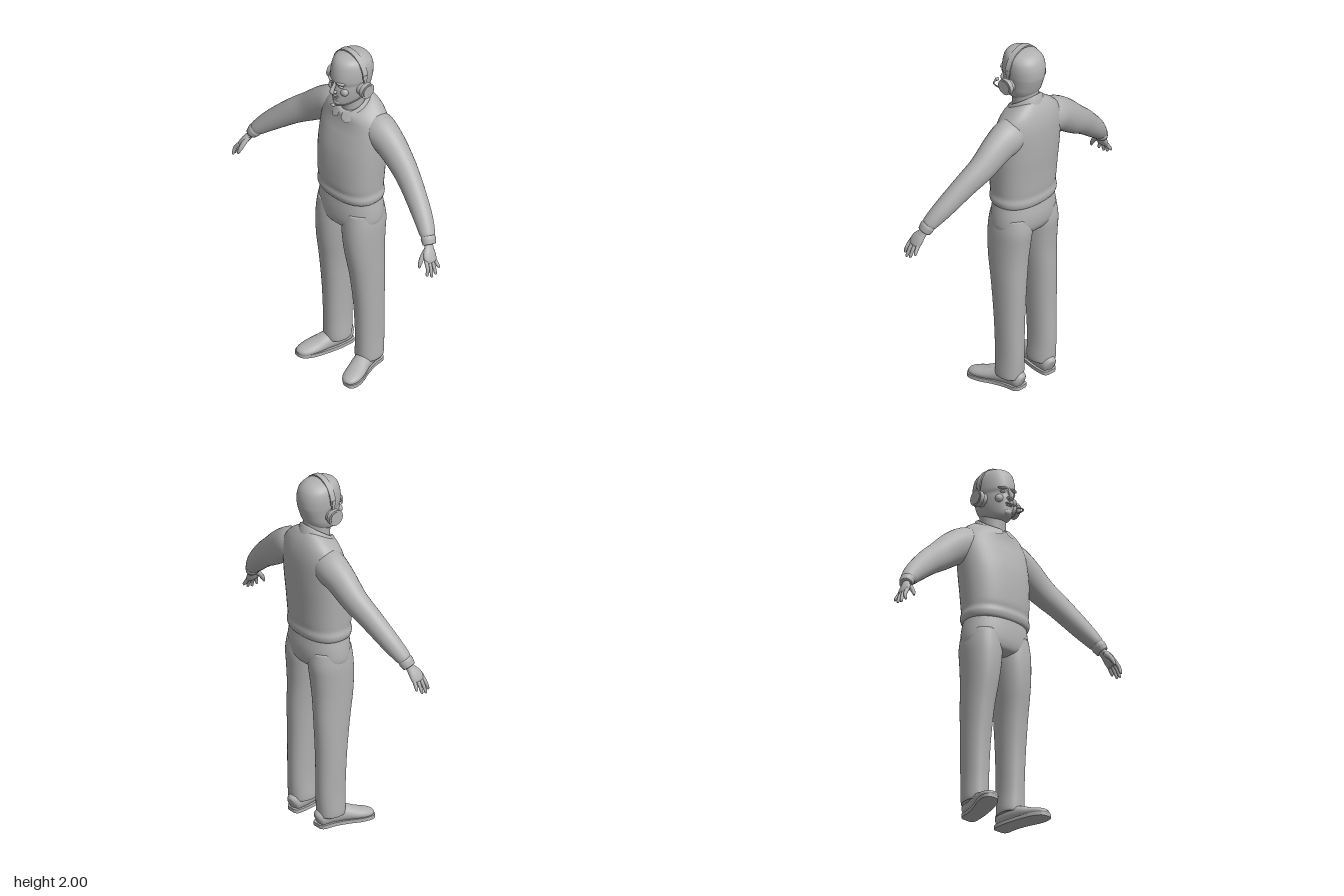
import * as THREE from 'three';

const grey = new THREE.MeshStandardMaterial({ color: 0xb2b2b2, side: THREE.DoubleSide });
grey.name = 'plain grey';
const V = (x, y, z) => new THREE.Vector3(x, y, z);

function mesh(name, geometry, parent) {
  const m = new THREE.Mesh(geometry, grey);
  m.name = name;
  parent.add(m);
  return m;
}

// Catmull-Rom resampling of every column in a short table of sections
function smooth(rows, steps) {
  const out = [], at = i => rows[Math.min(rows.length - 1, Math.max(0, i))];
  for (let i = 0; i < rows.length - 1; i++)
    for (let s = 0; s < steps; s++) {
      const t = s / steps, [p, q, r, w] = [at(i - 1), at(i), at(i + 1), at(i + 2)];
      out.push(q.map((v, k) => {
        const cubic = 3 * (v - r[k]) + w[k] - p[k];
        const square = 2 * p[k] - 5 * v + 4 * r[k] - w[k];
        return v + 0.5 * t * (r[k] - p[k] + t * (square + t * cubic));
      }));
    }
  out.push(rows[rows.length - 1]);
  return out;
}

// Skin over closed rings, with a fan at both ends
function skin(rings) {
  const n = rings[0].length, pos = [], idx = [], last = (rings.length - 1) * n;
  rings.forEach(r => r.forEach(p => pos.push(p.x, p.y, p.z)));
  for (let i = 0; i < rings.length - 1; i++)
    for (let j = 0; j < n; j++) {
      const a = i * n + j, b = i * n + (j + 1) % n;
      idx.push(a, a + n, b, b, a + n, b + n);
    }
  [rings[0], rings[rings.length - 1]].forEach((r, e) => {
    const c = r.reduce((s, p) => s.add(p), V(0, 0, 0)).divideScalar(n), k = pos.length / 3;
    pos.push(c.x, c.y, c.z);
    for (let j = 0; j < n; j++) {
      const a = j, b = (j + 1) % n;
      if (e) idx.push(last + a, k, last + b);
      else idx.push(k, a, b);
    }
  });
  const g = new THREE.BufferGeometry();
  g.setAttribute('position', new THREE.Float32BufferAttribute(pos, 3));
  g.setIndex(idx);
  g.computeVertexNormals();
  return g;
}

// Upright body: rows of [y, half width, back z, front z, tilt, centre x, front taper]
function body(rows, power = 0.9, steps = 4, seg = 40) {
  const pw = v => Math.sign(v) * Math.pow(Math.abs(v), power);
  const full = rows.map(r => [...r, 0, 0, 0].slice(0, 7));
  return skin(smooth(full, steps).map(([y, w, zb, zf, tilt, cx, taper]) =>
    Array.from({ length: seg }, (_, j) => {
      const a = j / seg * Math.PI * 2, s = pw(Math.sin(a)), dz = s * (zf - zb) / 2;
      return V(cx + pw(Math.cos(a)) * w * (1 - taper * s), y + tilt * dz, (zb + zf) / 2 + dz);
    })));
}

// Limb along a path: rows of [x, y, z, half size along hint, half size across]
function limb(rows, hint = V(0, 0, 1), steps = 4, seg = 20, floor = -1) {
  const pts = smooth(rows, steps);
  const c = i => V(...pts[Math.min(pts.length - 1, Math.max(0, i))].slice(0, 3));
  return skin(pts.map((p, i) => {
    const t = c(i + 1).sub(c(i - 1)).normalize();
    const e1 = hint.clone().addScaledVector(t, -hint.dot(t)).normalize(), e2 = e1.clone().cross(t);
    return Array.from({ length: seg }, (_, j) => {
      const a = j / seg * Math.PI * 2;
      const v = c(i).addScaledVector(e1, Math.cos(a) * p[3]).addScaledVector(e2, Math.sin(a) * p[4]);
      v.y = Math.max(v.y, floor);
      return v;
    });
  }));
}

function blob(name, x, y, z, rx, ry, rz, parent) {
  const m = mesh(name, new THREE.SphereGeometry(1, 20, 14), parent);
  m.position.set(x, y, z);
  m.scale.set(rx, ry, rz);
  return m;
}

// Folded shirt collar, open at the front with two points
function collarGeometry() {
  const n = 48, pos = [], idx = [];
  for (let i = 0; i <= n; i++) {
    const u = i / n, a = 0.12 + u * (Math.PI * 2 - 0.24), s = Math.sin(a), k = Math.cos(a);
    const tip = Math.max(0, 1 - Math.abs(Math.min(u, 1 - u) - 0.055) / 0.08);
    pos.push(s * 0.076, 1.69 - k * 0.052, -0.045 + k * 0.078);
    pos.push(s * 0.088, 1.685 - k * 0.052, -0.045 + k * 0.09);
    pos.push(s * (0.098 + tip * 0.02), 1.655 - k * 0.04 - tip * 0.03, -0.045 + k * 0.1 + tip * 0.012);
    if (i < n) for (let r = 0; r < 2; r++) {
      const p = i * 3 + r;
      idx.push(p, p + 1, p + 3, p + 3, p + 1, p + 4);
    }
  }
  const g = new THREE.BufferGeometry();
  g.setAttribute('position', new THREE.Float32BufferAttribute(pos, 3));
  g.setIndex(idx);
  g.computeVertexNormals();
  return g;
}

// Arm, hand, leg, shoe and ear cup of the +x side
function side(name) {
  const g = new THREE.Group();
  g.name = name;
  mesh('sleeve', limb([
    [0.05, 1.565, -0.07, 0.07, 0.07], [0.15, 1.543, -0.078, 0.087, 0.097], [0.24, 1.5, -0.075, 0.078, 0.09],
    [0.345, 1.42, -0.065, 0.066, 0.078], [0.44, 1.35, -0.04, 0.058, 0.068], [0.56, 1.245, 0, 0.051, 0.055],
    [0.625, 1.18, 0.028, 0.043, 0.042], [0.637, 1.165, 0.034, 0.038, 0.036],
    [0.645, 1.155, 0.038, 0.041, 0.038], [0.66, 1.13, 0.046, 0.036, 0.031]], V(0, 0, 1), 4, 28), g);
  mesh('palm', limb([
    [0.645, 1.15, 0.04, 0.024, 0.02], [0.664, 1.12, 0.052, 0.026, 0.018], [0.683, 1.09, 0.067, 0.038, 0.019],
    [0.7, 1.06, 0.075, 0.038, 0.016], [0.705, 1.05, 0.077, 0.03, 0.01]]), g);
  // four fingers: knuckle z, tip x, tip y, tip z
  [[0.104, 0.722, 0.995, 0.122], [0.086, 0.733, 0.985, 0.099], [0.067, 0.734, 0.99, 0.073], [0.049, 0.728, 1.012, 0.043]]
    .forEach(([z, x, y, tz]) => mesh('finger', limb([
      [0.694, 1.07, z, 0.01, 0.011], [0.718, 1.035, (z + tz) / 2, 0.0095, 0.01],
      [x, y + 0.008, tz, 0.0075, 0.008], [x + 0.001, y, tz, 0.003, 0.003]], V(0, 0, 1), 3, 10), g));
  mesh('thumb', limb([
    [0.664, 1.115, 0.065, 0.014, 0.014], [0.667, 1.085, 0.1, 0.013, 0.013],
    [0.671, 1.055, 0.122, 0.011, 0.011], [0.676, 1.03, 0.134, 0.005, 0.005]], V(1, 0, 0), 3, 10), g);

  // trouser leg: y, inner x, outer x, back z, front z
  mesh('trouserLeg', body([
    [0.065, 0.06, 0.178, -0.118, 0.022], [0.075, 0.05, 0.186, -0.124, 0.032], [0.2, 0.054, 0.184, -0.13, 0.033],
    [0.4, 0.048, 0.187, -0.131, 0.042], [0.6, 0.036, 0.19, -0.137, 0.064], [0.75, 0.018, 0.192, -0.139, 0.088],
    [0.86, 0.004, 0.194, -0.147, 0.097], [0.95, -0.004, 0.194, -0.155, 0.095], [1.03, 0, 0.185, -0.145, 0.085]
  ].map(([y, i, o, b, f]) => [y, (o - i) / 2, b, f, 0, (i + o) / 2])), g);

  const foot = [
    [0.108, 0.045, -0.13, 0.022, 0.03], [0.11, 0.05, -0.112, 0.041, 0.05], [0.115, 0.055, -0.05, 0.044, 0.055],
    [0.132, 0.05, 0.02, 0.048, 0.048], [0.153, 0.038, 0.08, 0.053, 0.035], [0.168, 0.03, 0.13, 0.05, 0.028],
    [0.177, 0.025, 0.165, 0.036, 0.02], [0.18, 0.02, 0.18, 0.015, 0.01]];
  mesh('shoe', limb(foot, V(1, 0, 0), 4, 24, 0.015), g);
  const edge = d => foot.map(p => new THREE.Vector2(p[0] + d * (p[3] + 0.003), p[2]));
  const outline = new THREE.Shape(new THREE.SplineCurve([...edge(1), ...edge(-1).reverse()]).getPoints(60));
  const sole = new THREE.ExtrudeGeometry(outline, { depth: 0.02, bevelEnabled: false });
  mesh('sole', sole.rotateX(Math.PI / 2).translate(0, 0.02, 0), g);

  // ear cup: cushion, shell, cap and slider
  const disc = (part, r, x0, x1) => mesh(part, new THREE.CylinderGeometry(r, r, x1 - x0, 32)
    .rotateZ(Math.PI / 2).translate((x0 + x1) / 2, 1.803, -0.023), g);
  disc('earCushion', 0.037, 0.085, 0.112);
  disc('earCupShell', 0.044, 0.11, 0.134);
  disc('earCupCap', 0.035, 0.13, 0.137);
  mesh('bandSlider', new THREE.BoxGeometry(0.008, 0.06, 0.018).translate(0.111, 1.865, -0.025), g);

  // facial details that come in pairs
  blob('ear', 0.094, 1.81, -0.025, 0.012, 0.034, 0.02, g);
  blob('brow', 0.036, 1.853, 0.08, 0.026, 0.008, 0.013, g).rotation.y = 0.35;
  blob('eye', 0.034, 1.833, 0.076, 0.015, 0.008, 0.011, g);
  blob('cheek', 0.042, 1.796, 0.062, 0.026, 0.024, 0.02, g);
  blob('nostril', 0.011, 1.796, 0.098, 0.009, 0.008, 0.012, g);
  return g;
}

export function createModel() {
  const model = new THREE.Group();
  model.name = 'man with headset';

  mesh('sweater', body([
    [1.095, 0.172, -0.145, 0.085], [1.103, 0.188, -0.16, 0.1], [1.13, 0.194, -0.166, 0.108],
    [1.16, 0.188, -0.162, 0.104], [1.2, 0.19, -0.166, 0.109], [1.3, 0.196, -0.173, 0.107],
    [1.4, 0.201, -0.181, 0.096], [1.5, 0.204, -0.185, 0.074, -0.1], [1.56, 0.2, -0.182, 0.058, -0.2],
    [1.61, 0.182, -0.17, 0.048, -0.3], [1.645, 0.148, -0.152, 0.045, -0.4],
    [1.668, 0.108, -0.132, 0.042, -0.5], [1.674, 0.085, -0.115, 0.03, -0.55]], 0.85), model);
  mesh('trouserTop', body([
    [0.91, 0.1, -0.1, 0.05], [0.93, 0.165, -0.135, 0.085], [0.97, 0.193, -0.158, 0.099],
    [1.03, 0.193, -0.164, 0.101], [1.09, 0.184, -0.157, 0.096], [1.13, 0.178, -0.15, 0.09]]), model);
  mesh('shirtCollar', collarGeometry(), model);

  mesh('neck', body([
    [1.58, 0.062, -0.1, 0.02], [1.65, 0.066, -0.108, 0.022], [1.72, 0.068, -0.116, 0.028],
    [1.78, 0.075, -0.12, 0.03]], 1), model);
  mesh('head', body([
    [1.698, 0.03, -0.01, 0.068], [1.705, 0.052, -0.05, 0.08, 0, 0, 0.2], [1.725, 0.07, -0.095, 0.088, 0, 0, 0.24],
    [1.76, 0.083, -0.122, 0.09, 0, 0, 0.2], [1.8, 0.09, -0.137, 0.09, 0, 0, 0.15],
    [1.83, 0.094, -0.146, 0.085, 0, 0, 0.12], [1.855, 0.098, -0.151, 0.092, 0, 0, 0.1],
    [1.9, 0.099, -0.15, 0.088, 0, 0, 0.1], [1.94, 0.092, -0.138, 0.077, 0, 0, 0.08],
    [1.966, 0.074, -0.115, 0.06], [1.98, 0.048, -0.085, 0.035], [1.986, 0.012, -0.045, -0.005]], 0.95), model);
  mesh('nose', limb([
    [0, 1.787, 0.085, 0.006, 0.006], [0, 1.794, 0.106, 0.013, 0.011], [0, 1.806, 0.11, 0.011, 0.013],
    [0, 1.83, 0.095, 0.008, 0.012], [0, 1.853, 0.085, 0.007, 0.009]], V(1, 0, 0)), model);
  blob('upperLip', 0, 1.768, 0.088, 0.024, 0.005, 0.011, model);
  blob('lowerLip', 0, 1.758, 0.087, 0.02, 0.006, 0.011, model);
  blob('chin', 0, 1.722, 0.075, 0.025, 0.018, 0.017, model);

  // headband as a flat arched strip
  const arch = new THREE.Shape();
  arch.absellipse(0, 1.87, 0.115, 0.13, 0, Math.PI, false);
  arch.absellipse(0, 1.87, 0.108, 0.122, Math.PI, 0, true);
  mesh('headband', new THREE.ExtrudeGeometry(arch, { depth: 0.032, bevelEnabled: false, curveSegments: 32 })
    .translate(0, 0, -0.041), model);

  // microphone on the left cup
  const boom = new THREE.CatmullRomCurve3([
    V(0.122, 1.785, -0.01), V(0.113, 1.77, 0.04), V(0.085, 1.755, 0.1), V(0.035, 1.743, 0.13)]);
  mesh('microphoneBoom', new THREE.TubeGeometry(boom, 24, 0.004, 8), model);
  blob('microphone', 0.03, 1.742, 0.131, 0.014, 0.009, 0.01, model);

  model.add(side('leftSide'));
  const right = side('rightSide');
  right.scale.x = -1;
  model.add(right);
  return model;
}
